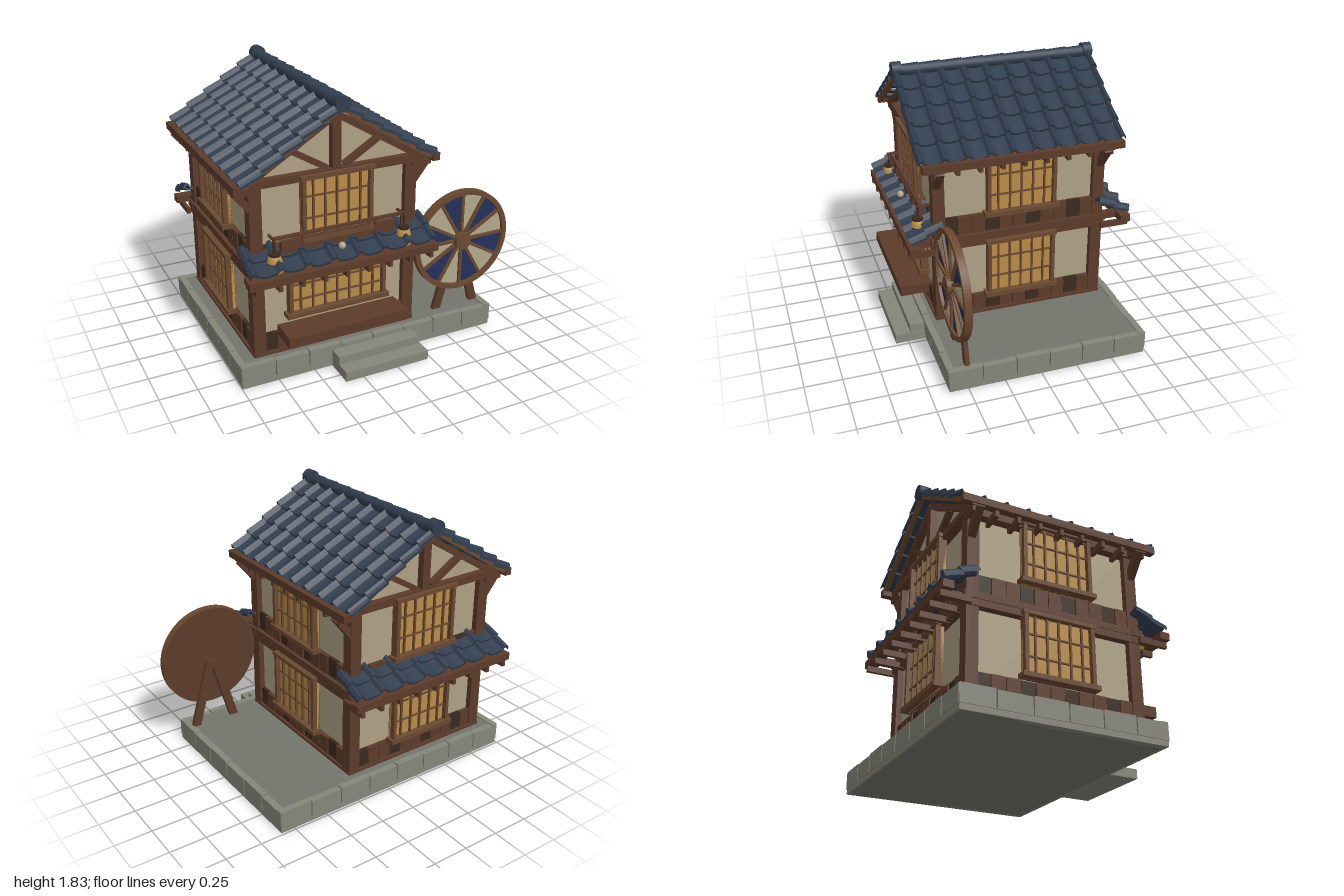
import * as THREE from 'three';

const mat = (color, side = THREE.FrontSide) => new THREE.MeshStandardMaterial({ color, side });
const wood = mat(0x5c3b2a), dark = mat(0x3a2a1e), trim = mat(0x6b4930), plaster = mat(0xaea184);
const glow = mat(0xb88c48), tile = mat(0x313d4e), stone = mat(0x85867a), paving = mat(0x73756d);
const blue = mat(0x22305a), cream = mat(0xb3a88c);

function add(parent, name, geometry, material, x = 0, y = 0, z = 0) {
  const m = new THREE.Mesh(geometry, material);
  m.name = name;
  m.position.set(x, y, z);
  parent.add(m);
  return m;
}
const box = (p, name, m, w, h, d, x, y, z) => add(p, name, new THREE.BoxGeometry(w, h, d), m, x, y, z);

function group(parent, name, x = 0, y = 0, z = 0) {
  const g = new THREE.Group();
  g.name = name;
  g.position.set(x, y, z);
  parent.add(g);
  return g;
}

// Straight bar between two points of a plane of constant z
function bar(p, name, m, x1, y1, x2, y2, thick, depth, z) {
  const b = box(p, name, m, Math.hypot(x2 - x1, y2 - y1), thick, depth, (x1 + x2) / 2, (y1 + y2) / 2, z);
  b.rotation.z = Math.atan2(y2 - y1, x2 - x1);
  return b;
}

// One course of tiles: shallow pans between rounded ribs, running down +z
function tileCourse(width, cols, length) {
  const n = 12, top = [], pitch = width / (cols + 0.3);
  for (let i = 0; i <= Math.round((cols + 0.3) * n); i++) {
    const u = ((i / n) % 1) / 0.3;
    const h = u < 1 ? 0.016 + 0.03 * Math.sin(Math.PI * u) : 0.016 - 0.012 * Math.sin(Math.PI * (u - 1) / 2.333);
    top.push(new THREE.Vector2(Math.min(-width / 2 + i / n * pitch, width / 2), h));
  }
  const bottom = top.map(p => new THREE.Vector2(p.x, p.y - 0.018)).reverse();
  return new THREE.ExtrudeGeometry(new THREE.Shape([...top, ...bottom]), { depth: length, bevelEnabled: false });
}

// Overlapping courses on a slope facing the given heading
function tiledSlope(parent, name, width, cols, length, rows, pitch, heading, x, y, z) {
  const g = group(parent, name, x, y, z);
  g.rotation.set(pitch, heading, 0, 'YXZ');
  const step = length / rows, geo = tileCourse(width, cols, step * 1.08);
  for (let i = 0; i < rows; i++) {
    add(g, 'tileCourse', geo, tile, 0, 0, i * step - step * 0.08).rotation.x = -0.14;
  }
  return g;
}

// Lattice window standing on a wall plane; y is its bottom
function latticeWindow(parent, w, h, y, z, verticals) {
  const g = group(parent, 'latticeWindow', 0, y, z);
  box(g, 'pane', glow, w, h, 0.02, 0, h / 2, 0);
  for (const s of [-1, 1]) box(g, 'frameSide', trim, 0.025, h, 0.055, s * (w / 2 - 0.0125), h / 2, 0.015);
  box(g, 'frameTop', trim, w + 0.02, 0.025, 0.06, 0, h - 0.0125, 0.018);
  box(g, 'sill', trim, w + 0.04, 0.03, 0.07, 0, 0.015, 0.022);
  for (let i = 1; i <= verticals; i++) box(g, 'mullion', trim, 0.012, h, 0.02, -w / 2 + w * i / (verticals + 1), h / 2, 0.015);
  for (const t of [1 / 3, 2 / 3]) box(g, 'crossBar', trim, w, 0.01, 0.018, 0, h * t, 0.013);
}

function paperLantern(parent, x) {
  const g = group(parent, 'lantern', x, 0.7, 0.675);
  const pts = [[0, 0.01], [0.034, 0.01], [0.048, 0.05], [0.051, 0.1], [0.048, 0.15], [0.034, 0.19], [0, 0.19]];
  add(g, 'shade', new THREE.LatheGeometry(pts.map(p => new THREE.Vector2(...p)), 16), glow);
  for (const y of [0.005, 0.195]) add(g, 'cap', new THREE.CylinderGeometry(0.036, 0.036, 0.018, 16), dark, 0, y, 0);
  for (const y of [0.06, 0.1, 0.14]) add(g, 'hoop', new THREE.TorusGeometry(0.05, 0.003, 6, 16), dark, 0, y, 0).rotation.x = Math.PI / 2;
  box(g, 'cord', dark, 0.008, 0.1, 0.008, 0, 0.245, 0);
  box(g, 'hangingArm', wood, 0.014, 0.014, 0.1, 0, 0.285, -0.04);
}

function addBase(root) {
  const g = group(root, 'stoneBase', -0.075, 0, -0.055);
  box(g, 'paving', paving, 1.81, 0.148, 1.33, 0, 0.074, 0);
  // Edge stones along each side
  for (let s = 0; s < 4; s++) {
    const along = s % 2 ? 1.37 : 1.85, out = s % 2 ? 0.925 : 0.685, n = s % 2 ? 6 : 8;
    const side = group(g, 'edgeStones');
    side.rotation.y = s * Math.PI / 2;
    box(side, 'footing', stone, along - 0.012, 0.04, 0.05, 0, 0.02, out - 0.03);
    for (let i = 0; i < n; i++) {
      const w = along / n;
      box(side, 'edgeStone', stone, w - 0.008, 0.118 - (i % 2) * 0.006, 0.045, -along / 2 + w * (i + 0.5), 0.096 - (i % 2) * 0.003, out - 0.0225);
    }
  }
  box(root, 'upperStep', stone, 0.59, 0.12, 0.11, -0.08, 0.06, 0.675);
  box(root, 'lowerStep', stone, 0.6, 0.065, 0.22, -0.075, 0.0325, 0.725);
}

function addWall(house, name, heading, half, dist, isGable, isFront) {
  const f = group(house, name);
  f.rotation.y = heading;
  const wallZ = dist - 0.03;
  box(f, 'groundSill', wood, half * 2, 0.02, 0.07, 0, 0.165, dist - 0.03);
  box(f, 'middleBeam', wood, half * 2 + 0.02, 0.045, 0.08, 0, 0.718, dist - 0.03);
  box(f, 'upperBeam', wood, half * 2 + 0.04, 0.045, 0.08, 0, 0.763, dist - 0.025);
  box(f, 'topBeam', wood, isGable ? 1.36 : half * 2, 0.05, 0.08, 0, 1.33, dist - 0.02);
  // Plank skirting on both floors
  const span = half * 2 - 0.14, n = 11;
  for (const [y, shift] of [[0.232, 0], [0.85, 0]]) {
    for (let i = 0; i < n; i++) {
      const isDark = (i + shift) % 3 === 0;
      box(f, 'skirtingPlank', isDark ? dark : wood, span / n - 0.005, 0.13, 0.03, -span / 2 + span * (i + 0.5) / n, y, wallZ + (isDark ? 0 : 0.006));
    }
  }
  if (isFront) latticeWindow(f, 0.68, 0.32, 0.405, dist, 7);
  else latticeWindow(f, 0.48, 0.43, 0.3, dist, 5);
  latticeWindow(f, 0.48, 0.43, 0.915, dist, 5);

  if (!isGable) {
    // Eave beam with stub rafters and corner braces
    box(f, 'eaveBeam', wood, 1.37, 0.05, 0.05, 0, 1.34, 0.665);
    for (let i = 0; i < 9; i++) box(f, 'stubRafter', wood, 0.025, 0.045, 0.14, -0.6 + i * 0.15, 1.295, 0.6);
    return;
  }
  // Gable timbers
  box(f, 'kingPost', wood, 0.06, 0.34, 0.07, 0, 1.52, dist - 0.015);
  for (const s of [-1, 1]) {
    bar(f, 'gableRafter', wood, s * 0.57, 1.345, 0, 1.695, 0.04, 0.07, dist - 0.015);
    bar(f, 'gableStrut', wood, s * 0.06, 1.36, s * 0.29, 1.5, 0.035, 0.05, dist - 0.015);
    bar(f, 'cornerBrace', wood, s * 0.55, 1.16, s * 0.67, 1.31, 0.045, 0.05, dist - 0.03);
    bar(f, 'bargeBoard', trim, s * 0.63, 1.352, 0, 1.752, 0.03, 0.03, dist + 0.07);
  }
  // Tiled awning between the floors
  tiledSlope(f, 'awning', 1.28, 7, 0.235, 2, 0.46, 0, 0, 0.893, 0.55);
  box(f, 'awningBeam', wood, 1.295, 0.05, 0.07, 0, 0.755, 0.745);
  for (let i = 0; i < 9; i++) {
    box(f, 'awningArm', wood, 0.025, 0.04, 0.2, -0.6 + i * 0.15, 0.71, 0.68);
  }
  for (const s of [-1, 1]) box(f, 'awningBracket', wood, 0.04, 0.05, 0.2, s * 0.53, 0.75, 0.66);
}

function addHouse(root) {
  const house = group(root, 'house', -0.31, 0, -0.05);
  box(house, 'plasterWalls', plaster, 1.06, 1.19, 1.12, 0, 0.745, 0);
  const gable = new THREE.Shape([[-0.56, 0], [0.56, 0], [0, 0.35]].map(p => new THREE.Vector2(...p)));
  add(house, 'gableWalls', new THREE.ExtrudeGeometry(gable, { depth: 1.14, bevelEnabled: false }), plaster, 0, 1.335, -0.57);
  for (const sx of [-1, 1]) for (const sz of [-1, 1]) box(house, 'cornerPost', wood, 0.08, 1.18, 0.08, sx * 0.53, 0.745, sz * 0.56);
  addWall(house, 'frontWall', 0, 0.57, 0.6, true, true);
  addWall(house, 'backWall', Math.PI, 0.57, 0.6, true, false);
  addWall(house, 'leftWall', Math.PI / 2, 0.6, 0.57, false, false);
  addWall(house, 'rightWall', -Math.PI / 2, 0.6, 0.57, false, false);

  // Main roof and ridge
  for (const s of [-1, 1]) tiledSlope(house, 'roofSlope', 1.41, 9, 0.755, 5, 0.566, s * Math.PI / 2, 0, 1.745, 0);
  for (let i = 0; i < 9; i++) {
    add(house, 'ridgeTile', new THREE.CylinderGeometry(0.037, 0.043, 0.15, 16), tile, 0, 1.772, -0.6 + i * 0.15).rotation.x = Math.PI / 2;
  }
  for (const s of [-1, 1]) add(house, 'ridgeEnd', new THREE.CylinderGeometry(0.051, 0.051, 0.065, 20), tile, 0, 1.78, s * 0.675).rotation.x = Math.PI / 2;

  // Balcony rail, bench and lanterns on the front
  box(house, 'balconyPanel', wood, 0.78, 0.09, 0.03, 0, 0.905, 0.635);
  box(house, 'balconyRail', wood, 0.9, 0.02, 0.02, 0, 0.985, 0.655);
  for (const x of [-0.44, -0.25, 0.25, 0.44]) box(house, 'railPost', wood, 0.016, 0.13, 0.016, x, 0.925, 0.655);
  for (const x of [-0.445, 0.445]) paperLantern(house, x);
  add(house, 'awningKnob', new THREE.SphereGeometry(0.024, 12, 8), cream, 0, 0.865, 0.69);
  box(house, 'bench', wood, 0.83, 0.07, 0.2, 0, 0.33, 0.71);
}

function addWheel(root) {
  const g = group(root, 'wheel', 0.635, 0.665, 0.53);
  add(g, 'backDisc', new THREE.CylinderGeometry(0.355, 0.355, 0.025, 48), wood, 0, 0, -0.012).rotation.x = Math.PI / 2;
  const ring = new THREE.Shape().absarc(0, 0, 0.362, 0, Math.PI * 2);
  ring.holes.push(new THREE.Path().absarc(0, 0, 0.328, 0, Math.PI * 2, true));
  add(g, 'rim', new THREE.ExtrudeGeometry(ring, { depth: 0.045, bevelEnabled: false, curveSegments: 48 }), trim, 0, 0, -0.018);
  for (let i = 0; i < 12; i++) {
    const a = i * Math.PI / 6;
    add(g, 'panel', new THREE.CircleGeometry(0.335, 6, a, Math.PI / 6), i % 2 ? blue : cream, 0, 0, 0.006);
    const spoke = box(g, 'spoke', trim, 0.3, 0.02, 0.02, Math.cos(a) * 0.19, Math.sin(a) * 0.19, 0.012);
    spoke.rotation.z = a;
  }
  add(g, 'hub', new THREE.CylinderGeometry(0.06, 0.06, 0.06, 24), trim, 0, 0, 0.02).rotation.x = Math.PI / 2;
  // Trestle legs behind the wheel
  for (const s of [-1, 1]) bar(g, 'trestleLeg', wood, s * 0.155, -0.53, s * 0.015, -0.03, 0.06, 0.03, -0.035);
}

export function createModel() {
  const root = new THREE.Group();
  root.name = 'millHouse';
  addBase(root);
  addHouse(root);
  addWheel(root);
  return root;
}
